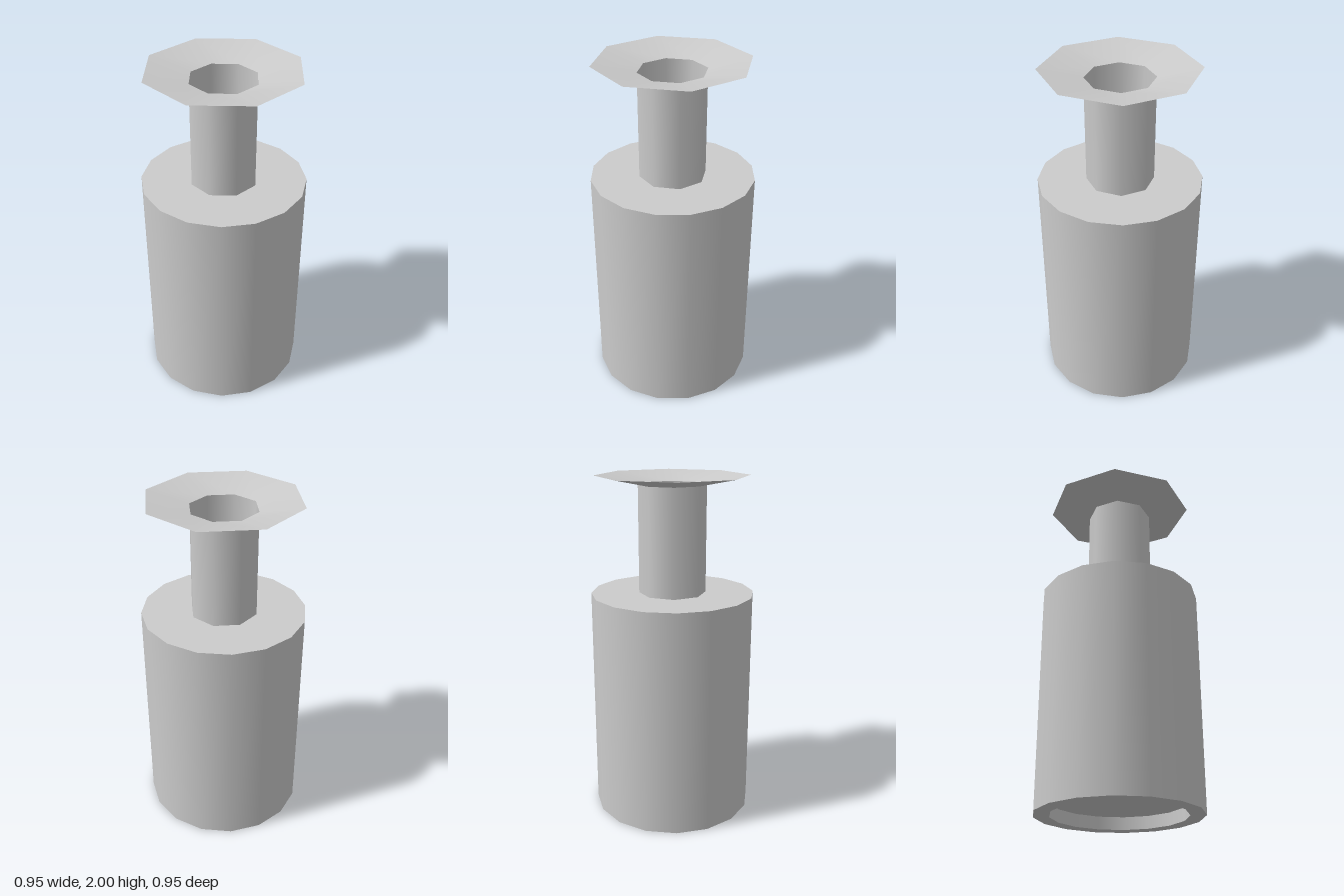
import * as THREE from 'three';

const grey = new THREE.MeshStandardMaterial({ color: 0xcccccc, side: THREE.DoubleSide });

const BODY_R = 0.475, BODY_H = 1.33, RECESS_R = 0.385, RECESS_D = 0.075;
const NECK_R = 0.195, NECK_TOP = 1.95, FLARE_R = 0.443, TOP = 2;

export function createModel() {
  const model = new THREE.Group();

  const add = (name, geometry, parent) => {
    const mesh = new THREE.Mesh(geometry, grey);
    mesh.name = name;
    parent.add(mesh);
  };
  // Open tube wall between two heights
  const wall = (r0, r1, y0, y1, sides) =>
    new THREE.CylinderGeometry(r1, r0, y1 - y0, sides, 1, true).translate(0, (y0 + y1) / 2, 0);
  // Flat disc or ring facing up (dir = 1) or down (dir = -1)
  const disc = (inner, outer, y, dir) => {
    const g = inner > 0 ? new THREE.RingGeometry(inner, outer, 16) : new THREE.CircleGeometry(outer, 16);
    return g.rotateX(-dir * Math.PI / 2).translate(0, y, 0);
  };

  // Sixteen-sided body with a shallow recess underneath
  const body = new THREE.Group();
  body.name = 'body';
  model.add(body);
  add('bodyWall', wall(BODY_R, BODY_R, 0, BODY_H, 16), body);
  add('bodyTop', disc(0, BODY_R, BODY_H, 1), body);
  add('baseRim', disc(RECESS_R, BODY_R, 0, -1), body);
  add('recessWall', wall(RECESS_R, RECESS_R, 0, RECESS_D, 16), body);
  add('recessCeiling', disc(0, RECESS_R, RECESS_D, -1), body);

  // Hollow eight-sided neck and its thin flared lip
  add('neck', wall(NECK_R, NECK_R, BODY_H, NECK_TOP, 8), model);
  add('flaredLip', wall(NECK_R, FLARE_R, NECK_TOP, TOP, 8), model);

  return model;
}
